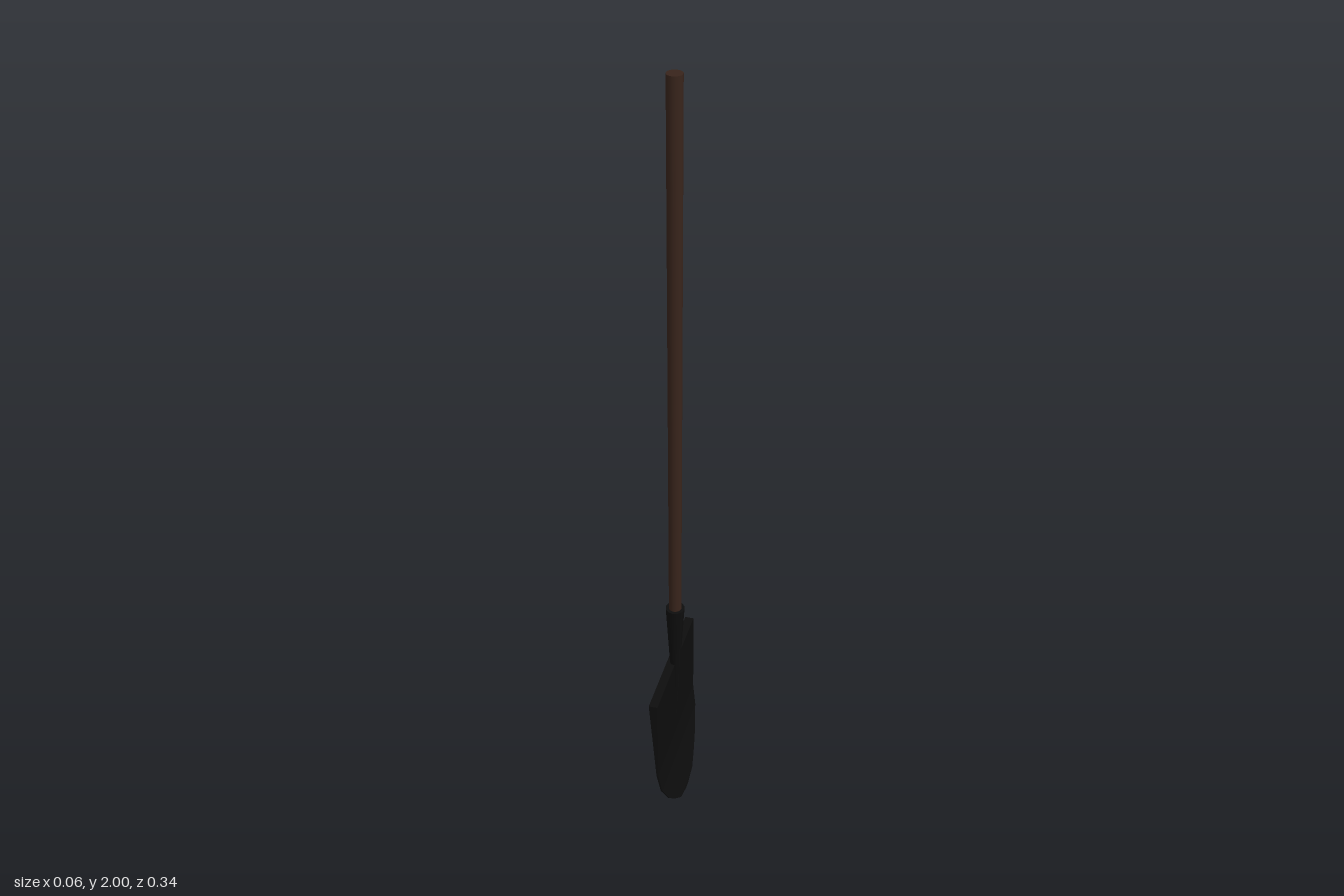
import * as THREE from 'three';

const AXIS_X = -0.005; // the shaft sits slightly behind the blade tip

// Loft of rectangular cross-sections, each row [y, halfWidth, backX, frontX]
function loftBlade(rows) {
  const pos = [];
  const corners = ([y, w, b, f]) => [[f, y, w], [f, y, -w], [b, y, -w], [b, y, w]];
  const quad = (a, b, c, d) => pos.push(...a, ...b, ...c, ...a, ...c, ...d);
  const rings = rows.map(corners);
  for (let i = 0; i < rings.length - 1; i++) {
    const up = rings[i], low = rings[i + 1];
    for (let k = 0; k < 4; k++) {
      const n = (k + 1) % 4;
      quad(up[k], low[k], low[n], up[n]);
    }
  }
  const top = rings[0], end = rings[rings.length - 1];
  quad(top[0], top[1], top[2], top[3]);
  quad(end[3], end[2], end[1], end[0]);
  const geo = new THREE.BufferGeometry();
  geo.setAttribute('position', new THREE.Float32BufferAttribute(pos, 3));
  geo.computeVertexNormals();
  return geo;
}

export function createModel() {
  const group = new THREE.Group();
  const wood = new THREE.MeshStandardMaterial({ color: 0x38241b });
  const metal = new THREE.MeshStandardMaterial({ color: 0x0d0d0d });
  const bladeMetal = new THREE.MeshStandardMaterial({ color: 0x0d0d0d, flatShading: true });

  const add = (name, geo, mat) => {
    const mesh = new THREE.Mesh(geo, mat);
    mesh.name = name;
    group.add(mesh);
    return mesh;
  };

  // Long wooden shaft, slightly thinner toward the socket
  add('shaft', new THREE.CylinderGeometry(0.018, 0.0155, 1.42, 16), wood)
    .position.set(AXIS_X, 1.29, 0);

  // Tapered metal socket that fades into the blade as a ridge
  add('socket', new THREE.CylinderGeometry(0.0238, 0.002, 0.38, 12), metal)
    .position.set(AXIS_X, 0.43, 0);

  // Blade: thick at the shoulder, thin and swept forward at the rounded tip
  add('blade', loftBlade([
    [0.44, 0.172, -0.025, -0.003],
    [0.2, 0.172, -0.007, -0.002],
    [0.14, 0.165, 0.002, 0.006],
    [0.08, 0.13, 0.012, 0.015],
    [0.045, 0.097, 0.018, 0.021],
    [0.012, 0.058, 0.024, 0.027],
    [0, 0.012, 0.026, 0.0285],
  ]), bladeMetal);

  return group;
}
